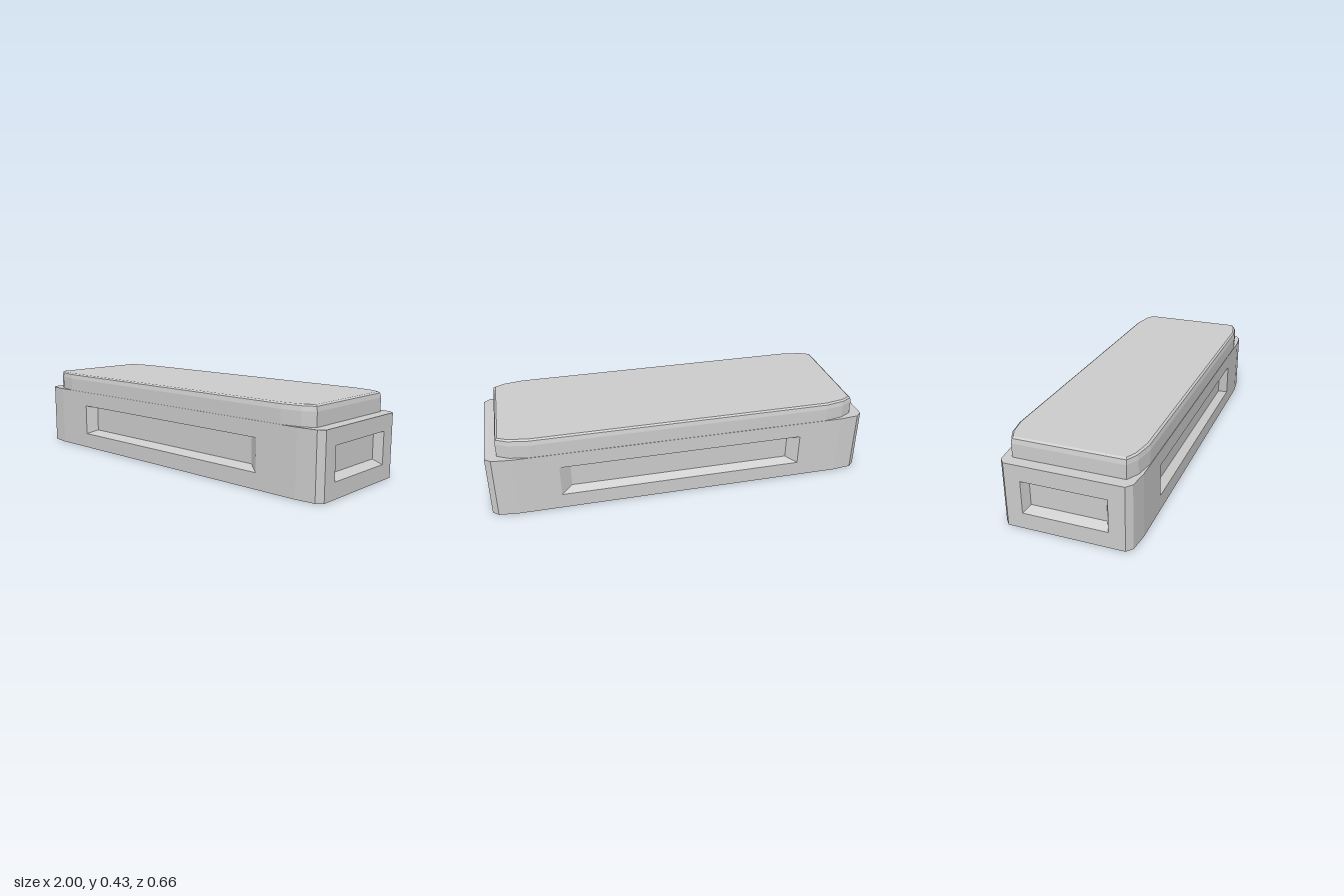
import * as THREE from 'three';

const material = new THREE.MeshStandardMaterial({ color: 0xcccccc, flatShading: true });

// Joins successive rings of [x, y, z] points with quads; optionally caps the last ring
function loft(rings, { closed = true, cap = false } = {}) {
  const pos = [];
  const tri = (a, b, c) => pos.push(...a, ...b, ...c);
  for (let r = 0; r + 1 < rings.length; r++) {
    const a = rings[r], b = rings[r + 1], n = a.length;
    for (let i = 0; i < (closed ? n : n - 1); i++) {
      const j = (i + 1) % n;
      tri(a[i], a[j], b[j]);
      tri(a[i], b[j], b[i]);
    }
  }
  if (cap) {
    const last = rings[rings.length - 1];
    for (let i = 1; i + 1 < last.length; i++) tri(last[0], last[i], last[i + 1]);
  }
  const geo = new THREE.BufferGeometry();
  geo.setAttribute('position', new THREE.Float32BufferAttribute(pos, 3));
  geo.computeVertexNormals();
  return geo;
}

function addMesh(parent, name, geo) {
  const mesh = new THREE.Mesh(geo, material);
  mesh.name = name;
  parent.add(mesh);
  return mesh;
}

// Mirrors one corner [x, z] into a full outline, counter-clockwise from above
function outline(corner) {
  const flip = (sx, sz) => corner.map(([x, z]) => [x * sx, z * sz]);
  return [...corner, ...flip(1, -1).reverse(), ...flip(-1, -1), ...flip(-1, 1).reverse()];
}
const atHeight = (pts, y) => pts.map(([x, z]) => [x, y, z]);
const rect = (hw, y0, y1, z) => [[-hw, y0, z], [hw, y0, z], [hw, y1, z], [-hw, y1, z]];

export function createModel() {
  const model = new THREE.Group();
  model.name = 'box';
  const H = 0.33;

  // Body: bevelled corners, underside and top
  const body = new THREE.Group();
  body.name = 'body';
  model.add(body);
  const base = outline([[0.87, 0.329], [0.97, 0.318], [1, 0.292]]);
  for (let k = 0; k < 4; k++) {
    const pts = base.slice(k * 3, k * 3 + 3);
    addMesh(body, 'bodyCorner', loft([atHeight(pts, 0), atHeight(pts, H)], { closed: false }));
  }
  addMesh(body, 'bodyTop', loft([atHeight(base, H)], { cap: true }));
  addMesh(body, 'bodyBottom', loft([atHeight(base, 0).reverse()], { cap: true }));

  // Walls with a sunken panel whose sides slope inwards
  const wall = (hw, z, outer, inner, depth) => loft([
    rect(hw, 0, H, z),
    rect(outer, 0.082, 0.249, z),
    rect(inner, 0.107, 0.243, z - depth),
  ], { cap: true });
  const longWall = wall(0.87, 0.329, 0.643, 0.585, 0.04);
  const endWall = wall(0.292, 1, 0.212, 0.19, 0.044);
  addMesh(body, 'frontWall', longWall);
  addMesh(body, 'backWall', longWall).rotation.y = Math.PI;
  addMesh(body, 'leftWall', endWall).rotation.y = Math.PI / 2;
  addMesh(body, 'rightWall', endWall).rotation.y = -Math.PI / 2;

  // Lid: straight sides, then two small bevels up to a flat top
  const lidRing = (y, inset) => atHeight(outline([
    [0.78, 0.327 - inset], [0.88, 0.309 - inset], [0.94 - inset, 0.277 - inset * 0.4],
  ]), y);
  addMesh(model, 'lid', loft([
    lidRing(H, 0), lidRing(0.4, 0), lidRing(0.423, 0.005), lidRing(0.43, 0.015),
  ], { cap: true }));

  return model;
}
